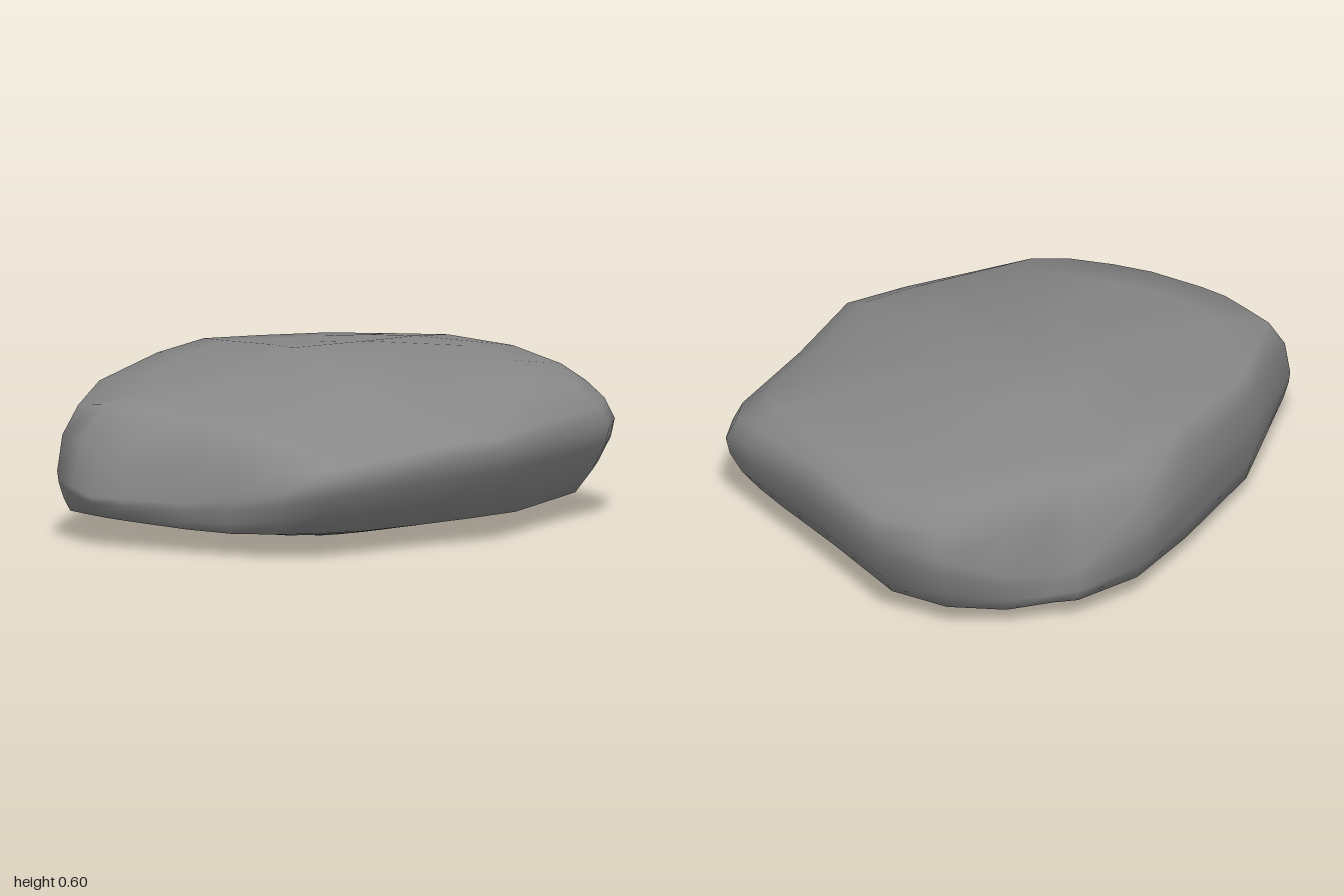
import * as THREE from 'three';

// Rim stations from back left round by the model's left side:
// [x, z, height of the widest line, inset of the upper edge, inset of the lower edge]
const stations = [
  [-0.41, -1, 0.43, 0.08, 0.13],
  [0, -0.985, 0.42, 0.08, 0.13],
  [0.36, -0.97, 0.38, 0.12, 0.13],
  [0.5, -0.95, 0.33, 0.15, 0.12],
  [0.59, -0.85, 0.32, 0.14, 0.12],
  [0.73, -0.48, 0.33, 0.12, 0.14],
  [0.88, -0.14, 0.34, 0.09, 0.17],
  [0.85, 0.1, 0.33, 0.1, 0.17],
  [0.81, 0.42, 0.3, 0.1, 0.15],
  [0.78, 0.62, 0.28, 0.1, 0.14],
  [0.67, 0.73, 0.24, 0.12, 0.08],
  [0.46, 0.78, 0.2, 0.1, 0.03],
  [0.3, 0.86, 0.18, 0.12, 0.03],
  [0.08, 0.96, 0.18, 0.14, 0.05],
  [-0.03, 1, 0.18, 0.15, 0.07],
  [-0.15, 0.98, 0.2, 0.13, 0.06],
  [-0.27, 0.95, 0.24, 0.08, 0.05],
  [-0.52, 0.6, 0.3, 0.04, 0.03],
  [-0.72, 0.18, 0.32, 0.06, 0.04],
  [-0.88, -0.15, 0.35, 0.12, 0.08],
  [-0.79, -0.39, 0.22, 0.08, 0],
  [-0.74, -0.46, 0.2, 0.07, 0],
  [-0.7, -0.64, 0.25, 0.1, 0.04],
  [-0.6, -0.86, 0.36, 0.1, 0.1],
];

// Piecewise-linear curve through [position, value] pairs
function curve(points, t) {
  if (t <= points[0][0]) return points[0][1];
  for (let i = 1; i < points.length; i++) {
    const [a, va] = points[i - 1], [b, vb] = points[i];
    if (t <= b) return va + (vb - va) * (t - a) / (b - a);
  }
  return points[points.length - 1][1];
}

// Gently domed upper and lower faces
const topY = (x, z) => 0.6
  - curve([[-0.75, 0.05], [-0.15, 0], [0.32, 0.04], [0.8, 0.19]], x)
  - curve([[-0.92, 0.055], [-0.55, 0.02], [0, 0], [0.83, 0.11], [0.92, 0.14]], z);
const bottomY = (x, z) => Math.hypot(
  curve([[-0.8, 0.1], [-0.32, 0.01], [-0.25, 0], [0.3, 0], [0.75, 0.09]], x),
  curve([[-0.88, 0.11], [-0.6, 0.04], [-0.2, 0], [0.2, 0], [0.93, 0.1]], z));

// Rings from below to above:
// [face height rule, plan scale, share of the edge inset, blend from widest line to face]
const rings = [
  [bottomY, 0.35, 0, 1],
  [bottomY, 0.7, 0, 1],
  [bottomY, 1, 1, 1],
  [bottomY, 1, 0.5, 0.7],
  [bottomY, 1, 0.12, 0.3],
  [bottomY, 1, 0, 0],
  [topY, 1, 0.25, 0.6],
  [topY, 1, 1, 1],
  [topY, 0.7, 0, 1],
  [topY, 0.35, 0, 1],
];

function stoneGeometry() {
  const n = stations.length;
  const positions = [], index = [];
  for (const [face, scale, share, blend] of rings) {
    for (const [px, pz, widest, topInset, bottomInset] of stations) {
      const inset = share * (face === topY ? topInset : bottomInset);
      const s = scale - inset / Math.hypot(px, pz);
      const x = px * s, z = pz * s;
      positions.push(x, widest + (face(x, z) - widest) * blend, z);
    }
  }
  const bottom = rings.length * n, top = bottom + 1;
  positions.push(0, 0, 0, -0.12, 0.6, 0);

  const last = (rings.length - 1) * n;
  for (let i = 0; i < n; i++) {
    const j = (i + 1) % n;
    index.push(bottom, i, j);
    for (let a = 0; a < last; a += n) {
      const b = a + n;
      index.push(a + j, a + i, b + i, a + j, b + i, b + j);
    }
    index.push(last + j, last + i, top);
  }

  const geometry = new THREE.BufferGeometry();
  geometry.setAttribute('position', new THREE.Float32BufferAttribute(positions, 3));
  geometry.setIndex(index);
  geometry.computeVertexNormals();
  return geometry;
}

export function createModel() {
  const group = new THREE.Group();
  group.name = 'flatRock';
  const stone = new THREE.Mesh(
    stoneGeometry(), new THREE.MeshStandardMaterial({ color: 0x888888 }));
  stone.name = 'stone';
  group.add(stone);
  return group;
}
